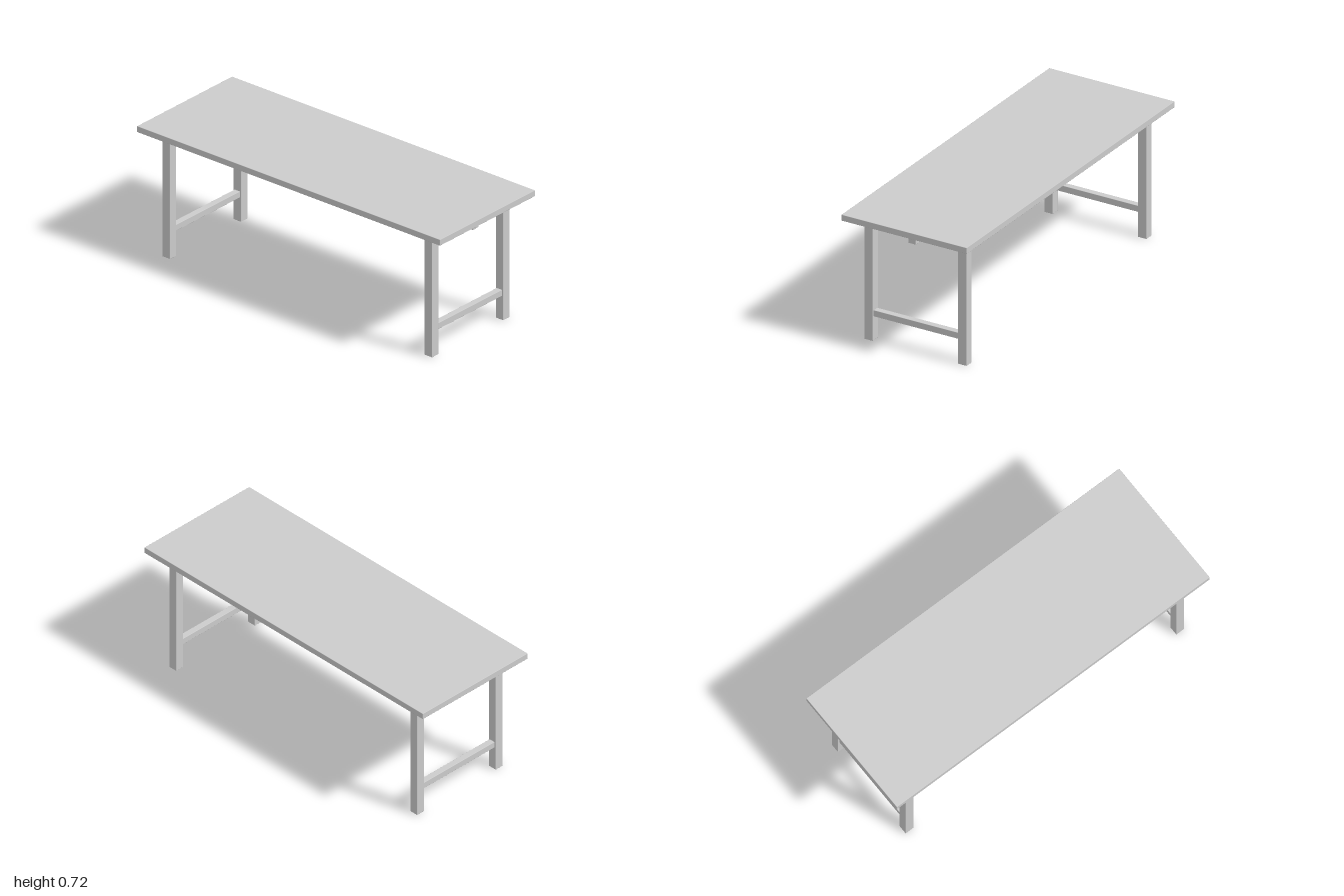
import * as THREE from 'three';
import { RoundedBoxGeometry } from 'three/addons/geometries/RoundedBoxGeometry.js';

const material = new THREE.MeshStandardMaterial({ color: 0xcccccc });

// Board with finely eased edges, placed by its centre and its bottom and top heights
function board(name, width, depth, bottom, top, x = 0, z = 0) {
  const geometry = new RoundedBoxGeometry(width, top - bottom, depth, 1, 0.002);
  const mesh = new THREE.Mesh(geometry, material);
  mesh.name = name;
  mesh.position.set(x, (bottom + top) / 2, z);
  return mesh;
}

export function createModel() {
  const table = new THREE.Group();
  table.name = 'table';

  // Top and the long beam beneath it
  table.add(board('tabletop', 2, 0.74, 0.688, 0.722));
  table.add(board('centreBeam', 1.844, 0.044, 0.62, 0.685));

  // One leg frame at each end: two legs joined by a low stretcher
  for (const side of [1, -1]) {
    const frame = new THREE.Group();
    frame.name = side > 0 ? 'leftLegFrame' : 'rightLegFrame';
    frame.position.x = side * 0.865;
    frame.add(board('frontLeg', 0.05, 0.05, 0, 0.666, 0, 0.277));
    frame.add(board('backLeg', 0.05, 0.05, 0, 0.666, 0, -0.277));
    frame.add(board('stretcher', 0.035, 0.504, 0.135, 0.17));
    table.add(frame);
  }
  return table;
}
